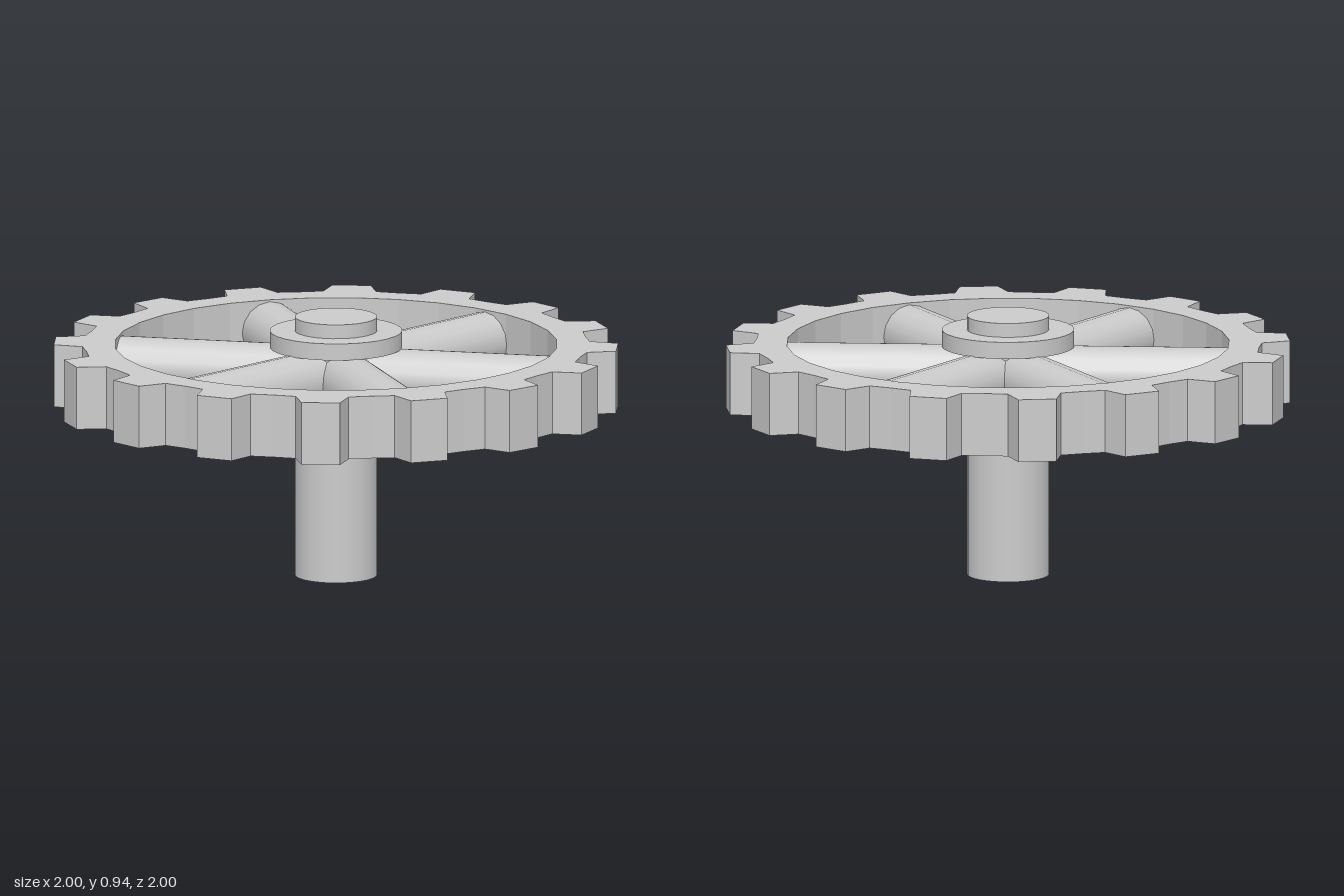
import * as THREE from 'three';

const material = new THREE.MeshStandardMaterial({ color: 0xcccccc });
const rad = THREE.MathUtils.degToRad;
const polar = (r, deg) => new THREE.Vector2(r * Math.cos(rad(deg)), r * Math.sin(rad(deg)));

function add(parent, name, geometry) {
  const mesh = new THREE.Mesh(geometry, material);
  mesh.name = name;
  parent.add(mesh);
  return mesh;
}

// Upright cylinder between two heights
function disc(parent, name, radius, y0, y1) {
  const mesh = add(parent, name, new THREE.CylinderGeometry(radius, radius, y1 - y0, 32));
  mesh.position.y = (y0 + y1) / 2;
}

// Toothed ring with an open centre
function gearRing() {
  const teeth = 16, step = 360 / teeth, outline = [], inner = [];
  for (let k = 0; k < teeth; k++) {
    const a = 92 + k * step;
    outline.push(polar(0.9, a - 6), polar(1.0, a - 3.9), polar(1.0, a + 3.9),
      polar(0.9, a + 6), polar(0.893, a + step / 2));
  }
  for (let i = 0; i < 32; i++) inner.push(polar(0.785, -i * 360 / 32));
  const shape = new THREE.Shape(outline);
  shape.holes.push(new THREE.Path(inner));
  const geometry = new THREE.ExtrudeGeometry(shape, { depth: 0.225, bevelEnabled: false });
  return geometry.rotateX(-Math.PI / 2).translate(0, 0.61, 0);
}

export function createModel() {
  const model = new THREE.Group();
  model.name = 'gearWheel';

  add(model, 'toothedRim', gearRing());

  // Axle and the two hub plates that hold the spokes
  disc(model, 'axle', 0.146, 0, 0.935);
  disc(model, 'upperHubPlate', 0.235, 0.825, 0.885);
  disc(model, 'lowerHubPlate', 0.235, 0.55, 0.615);

  // Six round spokes
  const spokeGeometry = new THREE.CylinderGeometry(0.106, 0.106, 0.69, 16)
    .rotateZ(-Math.PI / 2).translate(0.445, 0.722, 0);
  for (let i = 0; i < 6; i++) {
    add(model, 'spoke', spokeGeometry).rotation.y = rad(75 - i * 60);
  }
  return model;
}
